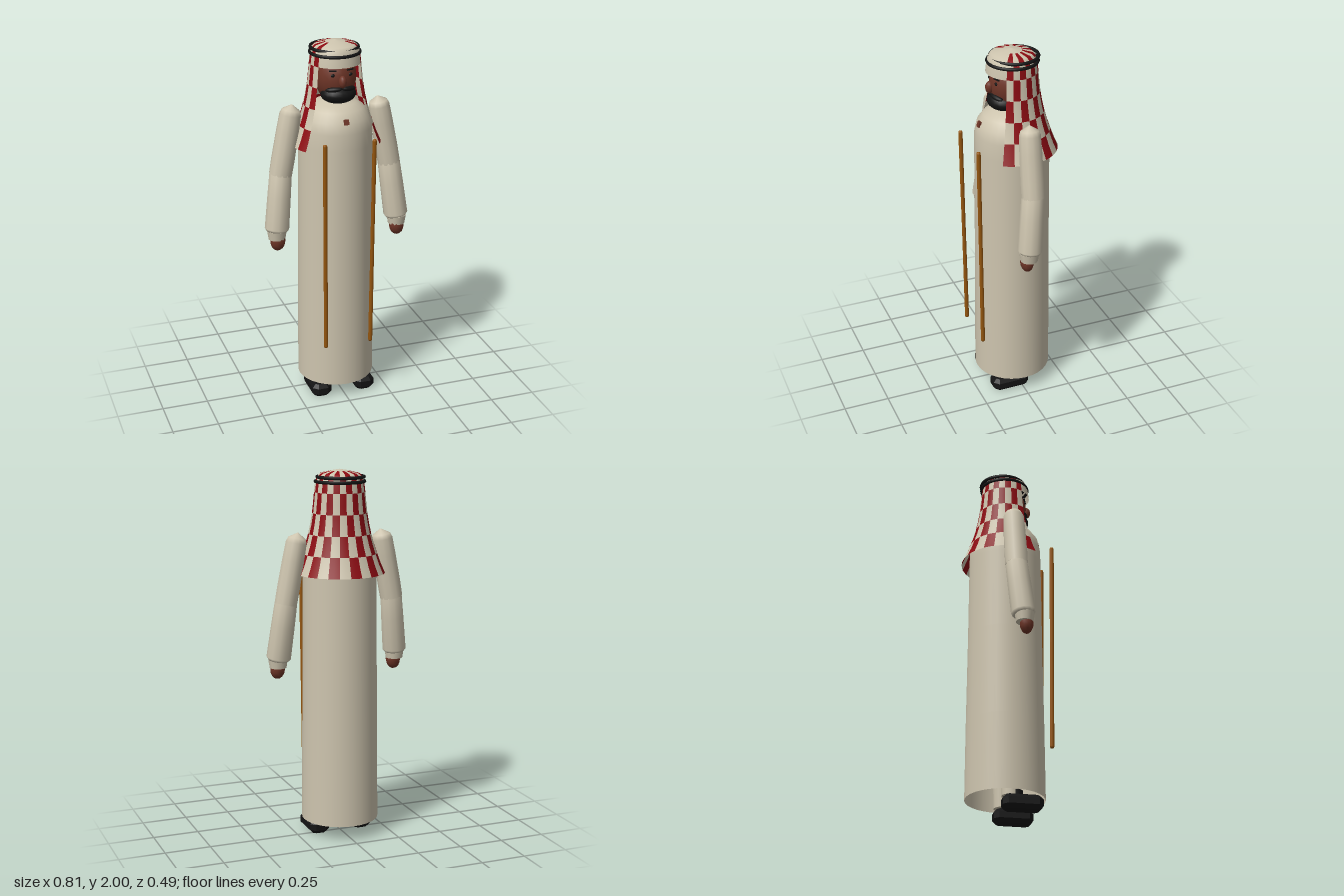
import * as THREE from 'three';

const mat = (name, color, side = THREE.FrontSide) => {
  const m = new THREE.MeshStandardMaterial({ color, side });
  m.name = name;
  return m;
};

export function createModel() {
  const root = new THREE.Group();
  root.name = 'robedFigure';

  const cream = mat('creamCloth', 0xcdc4ae, THREE.DoubleSide);
  const red = mat('redCheck', 0x8c0b12, THREE.DoubleSide);
  const black = mat('black', 0x141414);
  const skin = mat('skin', 0x6e3527);
  const wood = mat('wood', 0x95560f);

  const V = (x, y, z) => new THREE.Vector3(x, y, z);
  const add = (name, geo, material, pos = [0, 0, 0], scale = [1, 1, 1]) => {
    const m = new THREE.Mesh(geo, material);
    m.name = name;
    m.position.set(...pos);
    m.scale.set(...scale);
    root.add(m);
    return m;
  };
  const ball = (name, material, pos, scale, w = 20, h = 14) =>
    add(name, new THREE.SphereGeometry(1, w, h), material, pos, scale);
  const profile = (pts) => pts.map(([r, y]) => new THREE.Vector2(r, y));
  // Turned limb whose profile (radius, distance) runs from a to b
  const limb = (name, a, b, pts, material, sides = 12) => {
    const m = add(name, new THREE.LatheGeometry(profile(pts), sides), material, a.toArray());
    m.quaternion.setFromUnitVectors(V(0, 1, 0), b.clone().sub(a).normalize());
    return m;
  };

  // Long robe, open at the hem
  add('robe', new THREE.LatheGeometry(profile([
    [0.21, 0.085], [0.207, 0.5], [0.201, 1.0], [0.198, 1.45], [0.196, 1.54],
    [0.183, 1.6], [0.15, 1.645], [0.11, 1.67], [0.06, 1.685],
  ]), 32), cream);
  add('chestPatch', new THREE.BoxGeometry(0.026, 0.03, 0.012), skin, [0, 1.607, 0.182]).rotation.x = -0.35;

  // Head and face
  add('neck', new THREE.CylinderGeometry(0.06, 0.065, 0.12, 16), skin, [0, 1.7, 0]);
  ball('head', skin, [0, 1.81, 0], [0.11, 0.14, 0.12]);
  ball('nose', skin, [0, 1.805, 0.122], [0.021, 0.033, 0.024], 12, 8);
  ball('beard', black, [0, 1.725, 0.052], [0.095, 0.05, 0.08]);
  for (const s of [-1, 1]) {
    ball('eye', black, [s * 0.047, 1.838, 0.105], [0.012, 0.009, 0.006], 10, 6);
    const brow = add('brow', new THREE.BoxGeometry(0.04, 0.006, 0.008), black, [s * 0.047, 1.862, 0.102]);
    brow.rotation.y = s * 0.35;
    const tash = ball('moustache', black, [s * 0.04, 1.762, 0.1], [0.045, 0.014, 0.02], 12, 8);
    tash.rotation.set(0, s * 0.35, s * -0.1);
  }

  // Checked headcloth: radius, height and check row of each band, open at the front
  const bands = [
    [0.242, 1.45, 0], [0.22, 1.5, 0], [0.2, 1.555, 1], [0.183, 1.605, 1], [0.168, 1.66, 2],
    [0.156, 1.715, 2], [0.147, 1.77, 3], [0.141, 1.825, 3], [0.136, 1.88, 4],
    [0.13, 1.93, 5], [0.122, 1.962, 6], [0.105, 1.978, 6], [0.053, 1.991, -1], [0, 2.0, -1],
  ];
  const open = 1.0, columns = 17, steps = 2;
  const cloth = new THREE.LatheGeometry(profile(bands), columns * steps, open, 2 * Math.PI - 2 * open);
  const indexLists = [[], []];
  const src = cloth.index.array;
  const quads = bands.length - 1;
  for (let i = 0; i < columns * steps; i++) {
    for (let j = 0; j < quads; j++) {
      const row = bands[j][2];
      const isRed = row >= 0 && (Math.floor(i / steps) + row) % 2 === 0;
      const k = (i * quads + j) * 6;
      indexLists[isRed ? 1 : 0].push(...src.slice(k, k + 6));
    }
  }
  cloth.setIndex([...indexLists[0], ...indexLists[1]]);
  cloth.addGroup(0, indexLists[0].length, 0);
  cloth.addGroup(indexLists[0].length, indexLists[1].length, 1);
  add('headcloth', cloth, [cream, red]);

  // Plain front of the headcloth above the brow
  add('headclothFront', new THREE.LatheGeometry(profile(bands.slice(8)), 12, -open, 2 * open), cream);

  // Doubled head cord
  const cord = (y, z, r) =>
    add('headCord', new THREE.TorusGeometry(r, 0.009, 8, 40).rotateX(Math.PI / 2), black, [0, y, z]);
  cord(1.936, -0.004, 0.13);
  cord(1.96, -0.013, 0.124);

  for (const s of [-1, 1]) {
    // Sleeves with pointed shoulder caps
    const shoulder = V(s * 0.236, 1.675, 0), elbow = V(s * 0.305, 1.3, 0.005), wrist = V(s * 0.34, 0.99, 0.035);
    limb('upperSleeve', shoulder, elbow, [
      [0.061, 0.385], [0.062, 0.3], [0.06, 0.15], [0.057, 0.055], [0.048, 0.03], [0.0, 0],
    ].reverse(), cream);
    limb('lowerSleeve', elbow, wrist, [
      [0, -0.02], [0.045, -0.015], [0.06, 0], [0.063, 0.12], [0.066, 0.3], [0.055, 0.315], [0, 0.316],
    ], cream);
    add('cuff', new THREE.CylinderGeometry(0.054, 0.046, 0.05, 12), cream, [s * 0.341, 0.972, 0.039]);
    const hand = ball('hand', skin, [s * 0.339, 0.938, 0.05], [0.042, 0.055, 0.036], 10, 8);
    hand.rotation.z = s * 0.08;

    // Legs under the robe, bevelled shoes
    add('leg', new THREE.CylinderGeometry(0.06, 0.05, 0.55, 14), cream, [s * 0.11, 0.35, 0.01]);
    add('ankle', new THREE.CylinderGeometry(0.04, 0.04, 0.06, 12), black, [s * 0.12, 0.07, 0.03]);
    const sole = new THREE.Shape();
    [[-0.028, -0.105], [0.028, -0.105], [0.055, -0.08], [0.055, 0.08], [0.028, 0.105], [-0.028, 0.105],
      [-0.055, 0.08], [-0.055, -0.08]].forEach(([x, y], i) => (i ? sole.lineTo(x, y) : sole.moveTo(x, y)));
    const shoe = new THREE.ExtrudeGeometry(sole, {
      depth: 0.034, bevelEnabled: true, bevelThickness: 0.02, bevelSize: 0.018, bevelOffset: -0.018, bevelSegments: 1,
    }).rotateX(-Math.PI / 2);
    add('shoe', shoe, black, [s * 0.125, 0.02, 0.065]);

    // Thin walking stick in front of the robe
    const top = V(s * 0.135, 1.52, 0.237), foot = V(s * 0.128, 0.34, 0.223);
    limb('walkingStick', foot, top, [
      [0, 0], [0.009, 0.003], [0.012, 0.012], [0.011, 0.6], [0.012, 1.168], [0.009, 1.177], [0, 1.18],
    ], wood, 8);
  }

  return root;
}
